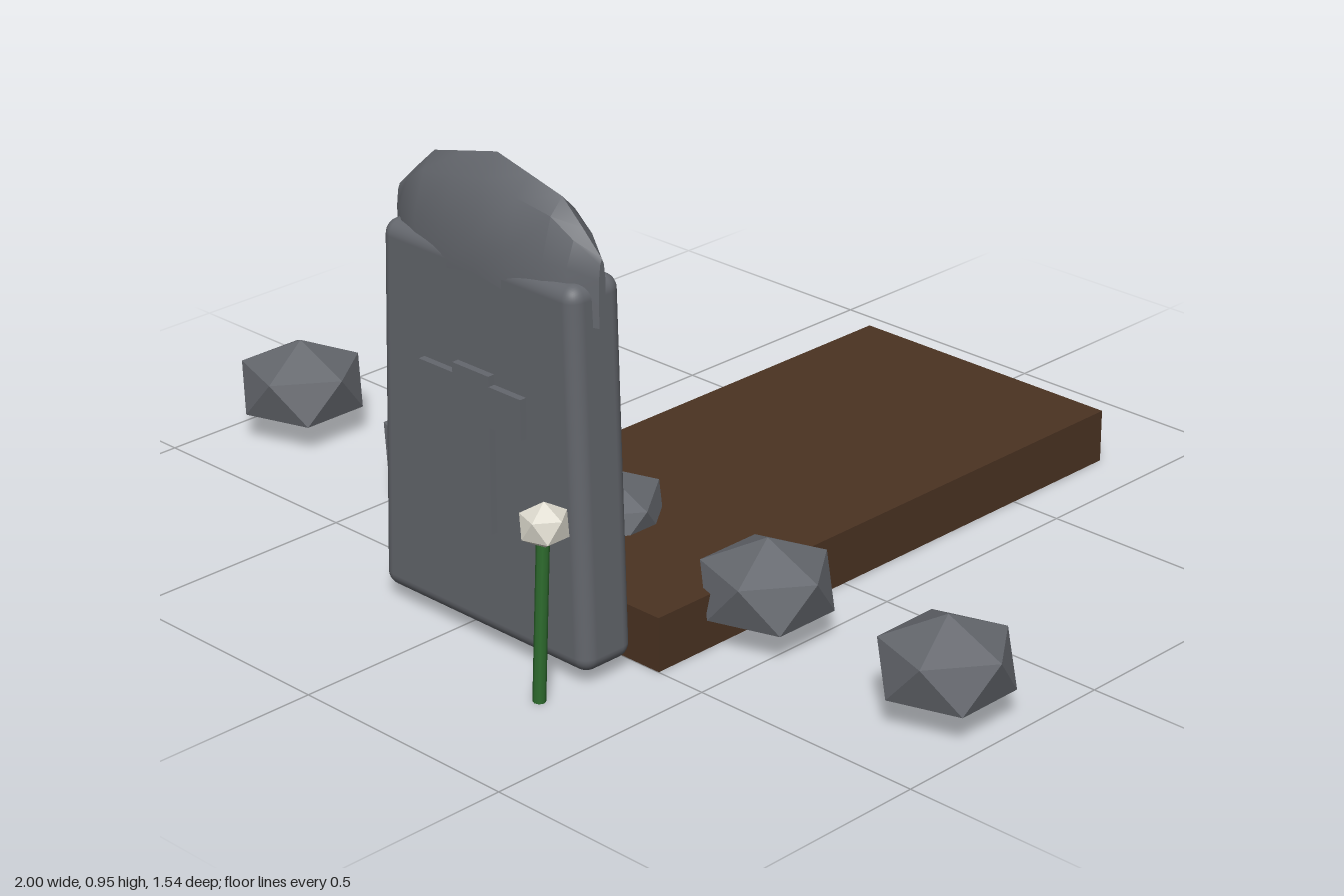
import * as THREE from 'three';
import { toCreasedNormals } from 'three/addons/utils/BufferGeometryUtils.js';
import { RoundedBoxGeometry } from 'three/addons/geometries/RoundedBoxGeometry.js';

const material = (name, color, flatShading = false) => {
  const m = new THREE.MeshStandardMaterial({ color, flatShading });
  m.name = name;
  return m;
};

// Icosahedron standing on a vertex, squashed vertically
function gem(radius, halfHeight) {
  const g = new THREE.IcosahedronGeometry(1, 0);
  g.rotateX(-Math.atan((1 + Math.sqrt(5)) / 2));
  g.rotateY(Math.PI / 2);
  return g.scale(radius, halfHeight, radius);
}

// Headstone slab, narrowing towards the top
function slabGeometry() {
  const g = new RoundedBoxGeometry(0.55, 0.747, 0.125, 4, 0.03);
  const p = g.attributes.position;
  for (let i = 0; i < p.count; i++) {
    p.setX(i, p.getX(i) * (0.955 - 0.12 * p.getY(i)));
  }
  return g;
}

// Lens-shaped pointed cap, lofted along x from arched cross-sections
function capGeometry() {
  const half = [[0, 0.95], [0.083, 0.93], [0.165, 0.91], [0.215, 0.865], [0.262, 0.82]];
  const outline = [...half.slice(1).reverse().map(([x, h]) => [-x, h]), ...half];
  const pos = [], idx = [], n = 7;
  for (const [x, h] of outline) {
    const t = Math.abs(x) / 0.262;
    const w = 0.008 + 0.057 * Math.sqrt(1 - t * t);
    const bottom = 0.74 - 0.05 * t;
    const y1 = Math.min(0.8, h - 0.04);
    const y2 = h - 0.27 * (h - y1);
    const ring = [[w, bottom], [w, y1], [0.56 * w, y2], [0, h], [-0.56 * w, y2], [-w, y1], [-w, bottom]];
    for (const [z, y] of ring) pos.push(x, y, z);
  }
  const last = (outline.length - 1) * n;
  for (let i = 0; i < last; i += n) {
    for (let j = 0; j < n; j++) {
      const k = (j + 1) % n;
      idx.push(i + j, i + n + j, i + n + k, i + j, i + n + k, i + k);
    }
  }
  for (let j = 1; j < n - 1; j++) {
    idx.push(0, j, j + 1, last, last + j + 1, last + j);
  }
  const g = new THREE.BufferGeometry();
  g.setAttribute('position', new THREE.Float32BufferAttribute(pos, 3));
  g.setIndex(idx);
  return toCreasedNormals(g, 0.6);
}

// Raised cross
function crossGeometry() {
  const s = new THREE.Shape([
    [-0.047, 0.242], [0.048, 0.242], [0.048, 0.455], [0.13, 0.455], [0.13, 0.535], [0.048, 0.535],
    [0.048, 0.555], [-0.047, 0.555], [-0.047, 0.535], [-0.137, 0.535], [-0.137, 0.455], [-0.047, 0.455],
  ].map(([x, y]) => new THREE.Vector2(x, y)));
  return new THREE.ExtrudeGeometry(s, { depth: 0.025, bevelEnabled: false });
}

export function createModel() {
  const root = new THREE.Group();
  root.name = 'grave';
  const stone = material('grey stone', 0x64676d);
  const rock = material('grey rock', 0x64676d, true);
  const soil = material('brown soil', 0x4b3322);
  const green = material('green stem', 0x2f6e2f);
  const cream = material('cream petals', 0xdedbcf, true);

  const add = (parent, name, geometry, mat, x, y, z) => {
    const m = new THREE.Mesh(geometry, mat);
    m.name = name;
    m.position.set(x, y, z);
    parent.add(m);
    return m;
  };

  // Soil bed
  add(root, 'soilBed', new THREE.BoxGeometry(0.63, 0.11, 1.27), soil, 0.076, 0.055, -0.135);

  // Headstone
  const headstone = new THREE.Group();
  headstone.name = 'headstone';
  headstone.position.set(0.077, 0, 0.583);
  root.add(headstone);
  add(headstone, 'slab', slabGeometry(), stone, 0, 0.4, 0);
  add(headstone, 'cap', capGeometry(), stone, 0, 0, 0);
  add(headstone, 'cross', crossGeometry(), stone, 0, 0, 0.052);

  // Row of rocks across the bed
  for (let i = -2; i <= 2; i++) {
    add(root, 'rock', gem(0.14, 0.0975), rock, i * 0.4365, 0.107, 0.262);
  }

  // Flower
  const flower = new THREE.Group();
  flower.name = 'flower';
  root.add(flower);
  const stem = add(flower, 'stem', new THREE.CylinderGeometry(0.0125, 0.0125, 0.33, 8), green, 0.323, 0.165, 0.727);
  stem.rotation.z = -0.05;
  add(flower, 'blossom', gem(0.05, 0.045), cream, 0.333, 0.356, 0.725);

  return root;
}
